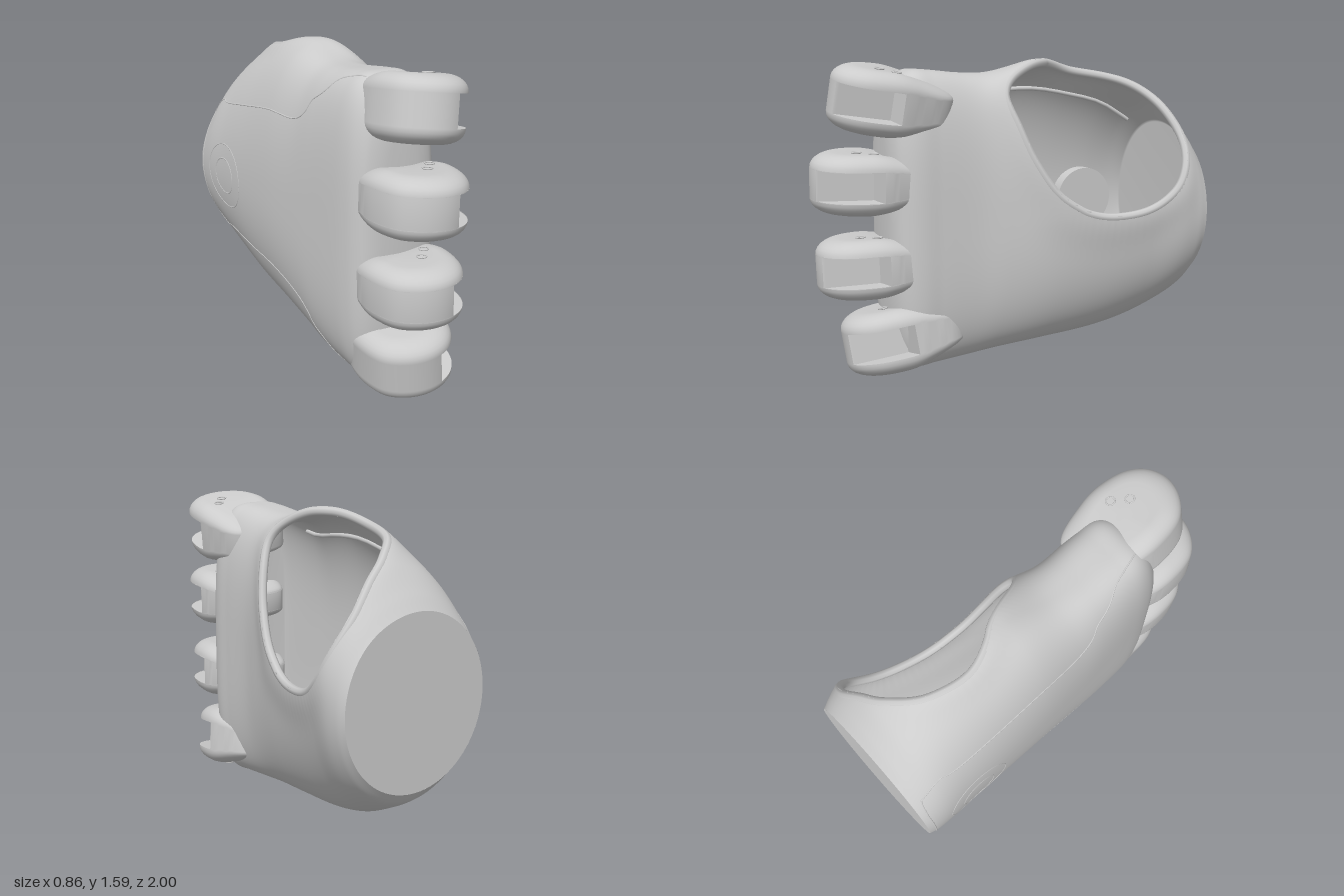
import * as THREE from 'three';
import { toCreasedNormals } from 'three/addons/utils/BufferGeometryUtils.js';

const grey = new THREE.MeshStandardMaterial({ color: 0xcccccc, side: THREE.DoubleSide });
const rad = THREE.MathUtils.degToRad;

// Palm stations along z: z, left, right, bottom, top, roundness exponent
const STATIONS = [
  [-1, -0.415, 0.4, 0.36, 1.21, 2], [-0.95, -0.425, 0.41, 0.3, 1.28, 2],
  [-0.85, -0.43, 0.41, 0.24, 1.39, 2], [-0.7, -0.425, 0.37, 0.17, 1.48, 2],
  [-0.5, -0.42, 0.32, 0.12, 1.535, 2.1], [-0.2, -0.41, 0.25, 0.085, 1.575, 2.3],
  [0.05, -0.395, 0.18, 0.06, 1.53, 2.6], [0.2, -0.385, 0.145, 0.045, 1.53, 3],
  [0.4, -0.37, 0.13, 0.03, 1.55, 3.4], [0.5, -0.357, 0.125, 0.025, 1.55, 3.5],
  [0.57, -0.335, 0.1, 0.07, 1.5, 3.3], [0.62, -0.29, 0.05, 0.22, 1.4, 3],
  [0.64, -0.22, -0.02, 0.36, 1.27, 2.5],
];

// Smooth interpolation of the stations
function station(z) {
  const S = STATIONS, last = S.length - 1;
  let i = 0;
  while (i < last - 1 && z > S[i + 1][0]) i++;
  const h = S[i + 1][0] - S[i][0];
  const u = (z - S[i][0]) / h;
  const slope = (k, c) => {
    const a = S[Math.max(k - 1, 0)], b = S[Math.min(k + 1, last)];
    return (b[c] - a[c]) / (b[0] - a[0]);
  };
  return [1, 2, 3, 4, 5].map((c) =>
    (2 * u ** 3 - 3 * u * u + 1) * S[i][c] + (u ** 3 - 2 * u * u + u) * h * slope(i, c) +
    (3 * u * u - 2 * u ** 3) * S[i + 1][c] + (u ** 3 - u * u) * h * slope(i + 1, c));
}

// Curve over the palm surface given as (z, angle in degrees)
const surfaceCurve = (points) => new THREE.CatmullRomCurve3(
  points.map(([z, t]) => new THREE.Vector3(z, rad(t), 0)), true);

// Edge of the thumb opening
const rim = surfaceCurve([
  [0.04, 53], [0, 34], [-0.08, 16], [-0.2, 4], [-0.4, -2], [-0.6, -2], [-0.7, 1], [-0.8, 9],
  [-0.865, 22], [-0.9, 45], [-0.86, 66], [-0.8, 82], [-0.65, 99], [-0.45, 103], [-0.2, 84], [-0.02, 68],
]).getSpacedPoints(120).slice(0, -1);

function inOpening(z, t) {
  let inside = false;
  rim.forEach((a, i) => {
    const b = rim[(i + 1) % rim.length];
    if ((a.y > t) !== (b.y > t) && z < ((b.x - a.x) * (t - a.y)) / (b.y - a.y) + a.x) inside = !inside;
  });
  return inside;
}

// Point on the palm, inset by wall thickness and flared near the opening
function palmPoint(z, t, inset = 0) {
  const [l, r, b, top, n] = station(z);
  let d = 9;
  for (const p of rim) d = Math.min(d, Math.hypot(p.x - z, (p.y - t) * 0.5));
  const grow = 0.022 * Math.exp(-((d / 0.09) ** 2)) - inset;
  const pow = (v) => Math.sign(v) * Math.abs(v) ** (2 / n);
  return new THREE.Vector3(
    (l + r) / 2 + ((r - l) / 2 + grow) * pow(Math.cos(t)),
    (b + top) / 2 + ((top - b) / 2 + grow) * pow(Math.sin(t)), z);
}

// Skin over closed rings of points; skip(row, column) leaves cells open
function skin(rings, skip = () => false) {
  const n = rings[0].length, index = [];
  for (let i = 0; i < rings.length - 1; i++) {
    for (let j = 0; j < n; j++) {
      if (skip(i, j)) continue;
      const k = (j + 1) % n, a = i * n + j, b = i * n + k, c = a + n, d = b + n;
      index.push(a, b, d, a, d, c);
    }
  }
  const g = new THREE.BufferGeometry().setFromPoints(rings.flat());
  g.setIndex(index);
  g.computeVertexNormals();
  return g;
}

// A ring shrunk to its centre, used to close an end
function centreOf(ring) {
  const c = new THREE.Vector3();
  ring.forEach((p) => c.addScaledVector(p, 1 / ring.length));
  return ring.map(() => c.clone());
}

function shell(z0, z1, inset, closeBack) {
  const rows = 140, cols = 200, step = (Math.PI * 2) / cols, start = -Math.PI / 2;
  const rings = [];
  for (let i = 0; i <= rows; i++) {
    const z = z0 + ((z1 - z0) * i) / rows;
    rings.push(Array.from({ length: cols }, (_, j) => palmPoint(z, start + j * step, inset)));
  }
  rings.push(centreOf(rings[rows]));
  const offset = closeBack ? 1 : 0;
  if (closeBack) rings.unshift(centreOf(rings[0]));
  return skin(rings, (i, j) =>
    inOpening(z0 + ((z1 - z0) * (i - offset + 0.5)) / rows, start + (j + 0.5) * step));
}

function tube(points, radius, closed) {
  return new THREE.TubeGeometry(new THREE.CatmullRomCurve3(points, closed), points.length * 2, radius, 8, closed);
}

// Knuckle plan outline; z is measured back from the tip
const plan = new THREE.CatmullRomCurve3([
  [-0.24, -0.58], [-0.32, -0.42], [-0.34, -0.27], [-0.305, -0.11], [-0.21, -0.025], [-0.1, 0],
  [0, -0.03], [0.075, -0.11], [0.112, -0.24], [0.11, -0.38], [0.04, -0.58],
].map(([x, z]) => new THREE.Vector3(x, 0, z)), true).getSpacedPoints(90).slice(0, -1);

// Outline stacked along y, slotted at the front corner and thinner towards the palm
function knuckleGeometry(h, width) {
  const ring = (y, inset, slotted) => plan.map((p) => {
    const s = 1 - inset / 0.24;
    const q = new THREE.Vector3(-0.115 + (p.x + 0.115) * s, y, -0.28 + (p.z + 0.28) * s);
    const floor = -0.05 - q.z * 0.17;
    if (slotted && q.z > -0.29 && q.x > floor) q.x = floor;
    q.y *= 1 - 0.35 * THREE.MathUtils.smoothstep(-q.z, 0.25, 0.6);
    q.x *= width;
    return q;
  });
  const bevelY = 0.075, bevel = 0.1, slot = 0.078, half = [];
  for (let k = 0; k <= 7; k++) {
    const a = (k / 7) * Math.PI / 2;
    half.push([h - bevelY + bevelY * Math.cos(a), bevel * (1 - Math.sin(a))]);
  }
  const rings = half.map(([y, inset]) => ring(-y, inset, false));
  rings.push(ring(-slot, 0, false), ring(-slot, 0, true), ring(slot, 0, true), ring(slot, 0, false));
  half.reverse().forEach(([y, inset]) => rings.push(ring(y, inset, false)));
  rings.unshift(centreOf(rings[0]));
  rings.push(centreOf(rings[rings.length - 1]));
  return toCreasedNormals(skin(rings).toNonIndexed(), 0.6);
}

export function createModel() {
  const model = new THREE.Group();
  const add = (name, geometry, parent = model) => {
    const mesh = new THREE.Mesh(geometry, grey);
    mesh.name = name;
    parent.add(mesh);
    return mesh;
  };

  // Hollow palm with its thumb opening
  add('palmShell', shell(-1, 0.64, 0, false));
  add('palmLining', shell(-0.95, 0.5, 0.042, true));
  add('openingRim', tube(rim.map((p) => palmPoint(p.x, p.y, 0.021)), 0.023, true));

  // Flat wrist end
  const wrist = Array.from({ length: 96 }, (_, j) => palmPoint(-1, (j / 96) * Math.PI * 2));
  add('wristFace', skin([centreOf(wrist), wrist]));

  // Seam around the back-of-hand plate
  const seam = [[-0.95, 142], [-0.85, 141], [-0.6, 147], [-0.2, 148], [0.2, 132], [0.36, 112], [0.5, 104]];
  const half = new THREE.CatmullRomCurve3(seam.map(([z, t]) => new THREE.Vector3(z, t, 0))).getPoints(60);
  const onPalm = (z, t) => palmPoint(z, rad(t), 0.001);
  add('plateSeam', tube([
    ...half.slice().reverse().map((p) => onPalm(p.x, p.y)),
    ...[155, 168, 180, 192, 205].map((t) => onPalm(-0.965, t)),
    ...half.map((p) => onPalm(p.x, 360 - p.y)),
  ], 0.004, false));

  // Round cover on the back of the hand and its boss inside
  for (const r of [0.1, 0.18]) {
    const points = Array.from({ length: 40 }, (_, i) => {
      const a = (i / 40) * Math.PI * 2;
      const z = -0.68 + r * Math.cos(a);
      const [, , b, top] = station(z);
      const t = Math.PI - Math.asin((0.79 + r * Math.sin(a) - (b + top) / 2) / ((top - b) / 2));
      return palmPoint(z, t, 0.002);
    });
    add('coverRing', tube(points, 0.004, true));
  }
  const boss = add('innerBoss', new THREE.CylinderGeometry(0.17, 0.17, 0.08, 48));
  boss.rotation.z = Math.PI / 2;
  boss.position.set(-0.345, 0.79, -0.66);

  // Ridge along the inner wall
  const ridge = [-0.88, -0.7, -0.5, -0.3, -0.1, 0.1, 0.2].map((z) => palmPoint(z, rad(122), 0.046));
  add('innerRidge', tube(ridge, 0.012, false));

  // Four slotted knuckles: height, half thickness, tip z, x shift, width, roll, pitch
  [
    [1.425, 0.158, 0.91, 0.045, 0.96, -8, -7], [1.005, 0.15, 1, 0, 1, -2, -1],
    [0.575, 0.15, 0.98, 0, 1, 2, 1], [0.178, 0.16, 0.86, 0.035, 1.03, 8, 7],
  ].forEach(([y, h, tip, x, width, roll, pitch]) => {
    const finger = new THREE.Group();
    finger.name = 'fingerKnuckle';
    finger.position.set(x, y, tip);
    finger.rotation.set(rad(pitch), 0, rad(roll));
    add('knuckleBody', knuckleGeometry(h, width), finger);
    // Pin rims on both cheeks
    for (const side of [-1, 1]) {
      for (const [px, pz] of [[-0.08, -0.22], [-0.02, -0.29]]) {
        const pin = add('pinRim', new THREE.TorusGeometry(0.022, 0.004, 8, 20), finger);
        pin.rotation.x = Math.PI / 2;
        pin.position.set(px, side * h, pz);
      }
    }
    model.add(finger);
  });
  return model;
}
